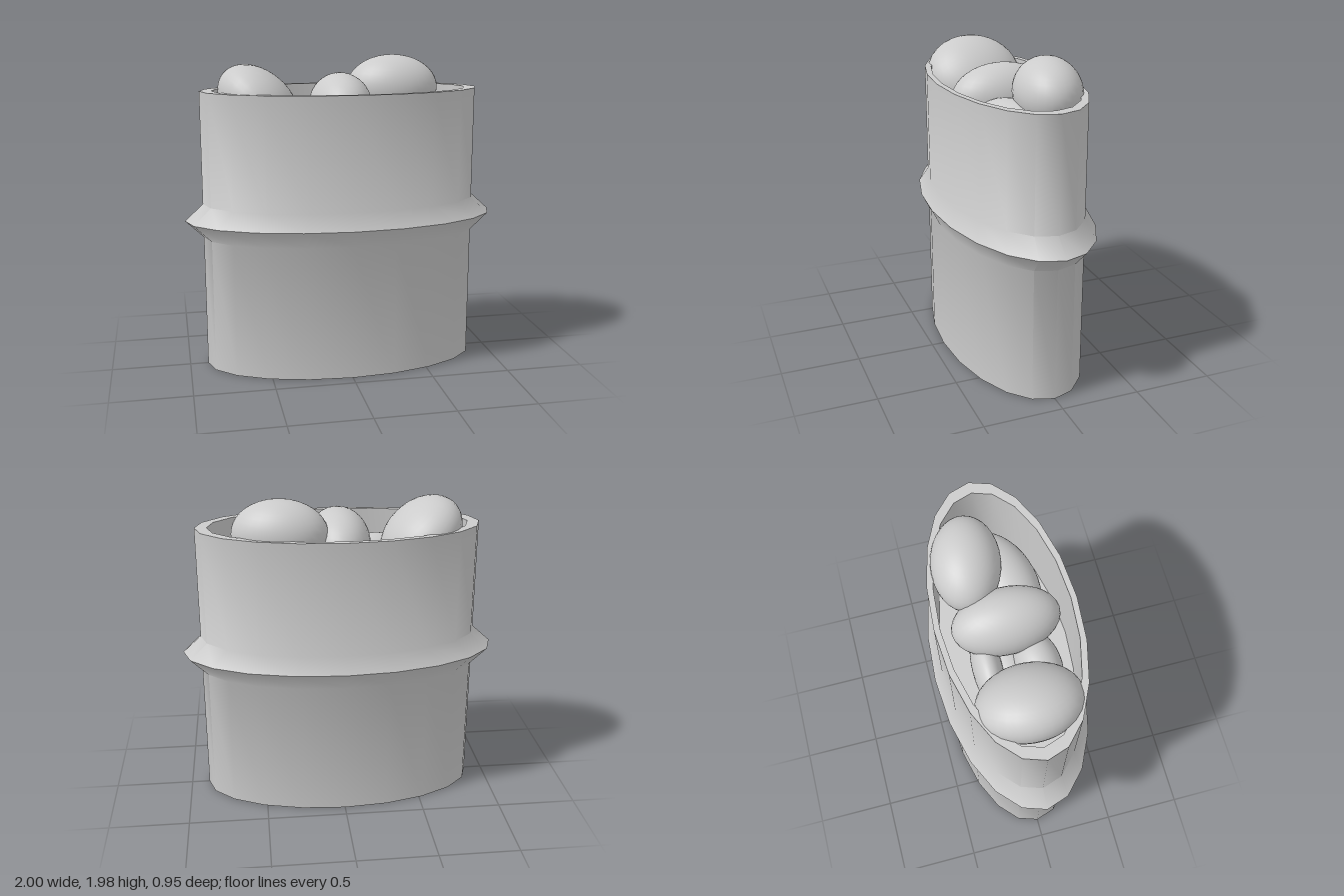
import * as THREE from 'three';
import { toCreasedNormals } from 'three/addons/utils/BufferGeometryUtils.js';

const DEPTH = 0.476; // z to x ratio of the oval section

export function createModel() {
  const model = new THREE.Group();
  const material = new THREE.MeshStandardMaterial({ color: 0xcccccc });

  // Oval container: foot, wall with raised ridge, rim, inner wall and floor
  const profile = [
    [0, 0], [0.885, 0], [0.885, 0.855], [1, 0.965], [0.885, 1.07],
    [0.885, 1.78], [0.81, 1.78], [0.81, 1.25], [0, 1.25],
  ].map(([r, y]) => new THREE.Vector2(r, y));
  const oval = new THREE.LatheGeometry(profile, 20).scale(1, 1, DEPTH);
  const container = new THREE.Mesh(toCreasedNormals(oval, 0.82), material);
  container.name = 'container';
  model.add(container);

  // Rounded pieces heaped inside: name, centre, radii, yaw, roll
  const pieces = [
    ['leftEgg', [-0.52, 1.7, 0], [0.285, 0.2, 0.315], 0, -0.72],
    ['middleEgg', [0, 1.67, 0], [0.197, 0.21, 0.325], 0, 0],
    ['rightEgg', [0.37, 1.77, -0.145], [0.295, 0.21, 0.208], -0.18, 0],
    ['lowerRightEgg', [0.33, 1.53, 0.06], [0.33, 0.2, 0.2], 0.3, 0],
    ['lowerBackEgg', [-0.2, 1.5, -0.165], [0.25, 0.17, 0.09], 0, 0],
    ['lowerFrontEgg', [-0.25, 1.5, 0.13], [0.22, 0.18, 0.14], 0.1, 0],
    ['bottomEgg', [-0.2, 1.4, -0.03], [0.26, 0.15, 0.14], 0, 0],
  ];
  const sphere = new THREE.SphereGeometry(1, 32, 20);
  for (const [name, centre, radii, yaw, roll] of pieces) {
    const egg = new THREE.Mesh(sphere, material);
    egg.name = name;
    egg.position.set(...centre);
    egg.scale.set(...radii);
    egg.rotation.set(0, yaw, roll);
    model.add(egg);
  }
  return model;
}
